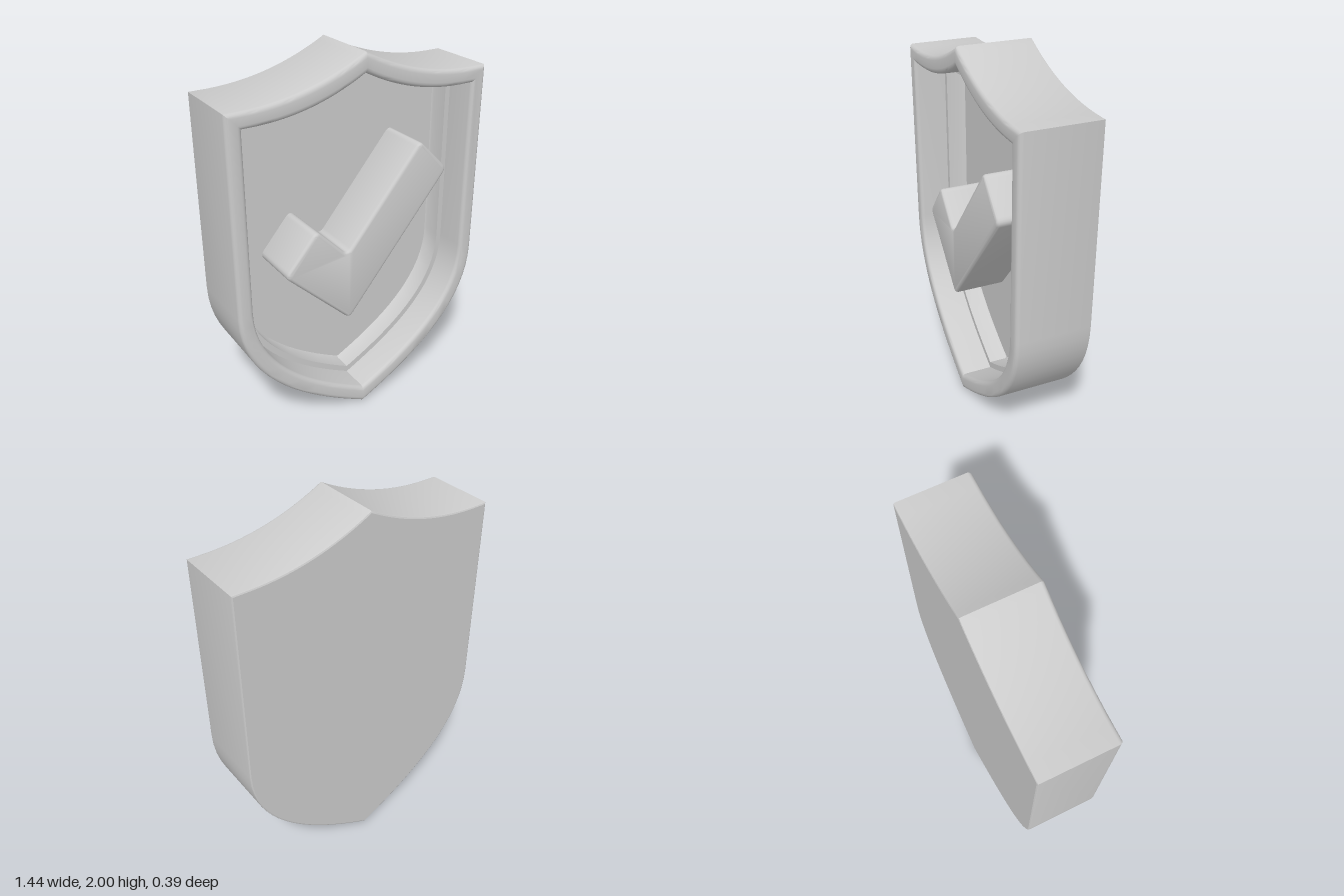
import * as THREE from 'three';
import { toCreasedNormals } from 'three/addons/utils/BufferGeometryUtils.js';

const material = new THREE.MeshStandardMaterial({ color: 0xcccccc });

// Shield outline, counter-clockwise from the bottom tip
function shieldOutline() {
  const s = new THREE.Shape();
  s.moveTo(0, 0);
  s.bezierCurveTo(0.33, 0.16, 0.72, 0.4, 0.72, 0.8);
  s.lineTo(0.72, 1.835);
  s.lineTo(0.63, 1.835);
  s.quadraticCurveTo(0.3, 1.84, 0, 2);
  s.quadraticCurveTo(-0.3, 1.84, -0.63, 1.835);
  s.lineTo(-0.72, 1.835);
  s.lineTo(-0.72, 0.8);
  s.bezierCurveTo(-0.72, 0.4, -0.33, 0.16, 0, 0);
  const pts = s.getPoints(18);
  if (pts[0].distanceTo(pts[pts.length - 1]) < 1e-6) pts.pop();
  return pts;
}

// Shrinks the outline about its middle so that its sides move in by d
function inset(pts, d) {
  const midY = 1.003, sx = 1 - d / 0.72, sy = 1 - d / 0.81;
  return pts.map((p) => new THREE.Vector2(p.x * sx, midY + (p.y - midY) * sy));
}

// Joins inset copies of the outline, one per [inset, z] step of the profile
function sweepProfile(outline, profile) {
  const n = outline.length, pos = [], idx = [];
  profile.forEach(([d, z], i) => {
    inset(outline, d).forEach((p, j) => {
      pos.push(p.x, p.y, z);
      if (i === profile.length - 1) return;
      const a = i * n + j, b = i * n + (j + 1) % n;
      idx.push(a, b, b + n, a, b + n, a + n);
    });
  });
  const g = new THREE.BufferGeometry();
  g.setAttribute('position', new THREE.Float32BufferAttribute(pos, 3));
  g.setIndex(idx);
  return toCreasedNormals(g, 0.6);
}

// Polygon with softly rounded corners
function roundedPolygon(corners, r) {
  const s = new THREE.Shape(), n = corners.length;
  const v = corners.map(([x, y]) => new THREE.Vector2(x, y));
  v.forEach((p, i) => {
    const towards = (q) => p.clone().add(q.clone().sub(p).setLength(r));
    const a = towards(v[(i + n - 1) % n]), b = towards(v[(i + 1) % n]);
    if (i === 0) s.moveTo(a.x, a.y); else s.lineTo(a.x, a.y);
    s.quadraticCurveTo(p.x, p.y, b.x, b.y);
  });
  s.closePath();
  return s;
}

export function createModel() {
  const group = new THREE.Group();
  const add = (name, geometry, z = 0) => {
    const mesh = new THREE.Mesh(geometry, material);
    mesh.name = name;
    mesh.position.z = z;
    group.add(mesh);
  };
  const outline = shieldOutline();

  // Profile from the back edge, over the rounded rim and down the stepped recess
  const floorInset = 0.115, floorZ = -0.08, backInset = 0.008, faceZ = 0.197;
  const profile = [[backInset, -faceZ], [0.002, -faceZ + 0.003], [0, -faceZ + 0.009]];
  const r = 0.022, rim = 0.08;
  for (let i = 0; i <= 4; i++) {
    const t = (i / 4) * Math.PI / 2;
    profile.push([r - r * Math.cos(t), faceZ - r + r * Math.sin(t)]);
  }
  for (let i = 0; i <= 4; i++) {
    const t = (i / 4) * Math.PI / 2;
    profile.push([rim - r + r * Math.sin(t), faceZ - r + r * Math.cos(t)]);
  }
  profile.push([rim, 0.024], [0.109, 0.024], [0.109, floorZ + 0.01], [floorInset, floorZ]);
  add('shieldFrame', sweepProfile(outline, profile));

  // Recessed front panel and flat back
  add('frontPanel', new THREE.ShapeGeometry(new THREE.Shape(inset(outline, floorInset))), floorZ);
  const back = new THREE.ShapeGeometry(new THREE.Shape(inset(outline, backInset)));
  back.rotateY(Math.PI);
  add('backPanel', back, -faceZ);

  // Raised check mark with softened edges
  const check = roundedPolygon([
    [-0.46, 0.955], [-0.09, 0.595], [0.51, 1.32],
    [0.33, 1.505], [-0.105, 0.985], [-0.28, 1.165],
  ], 0.035);
  const bevel = 0.018, checkBack = floorZ - 0.025;
  const checkGeometry = new THREE.ExtrudeGeometry(check, {
    depth: faceZ - checkBack - 2 * bevel,
    bevelSize: bevel, bevelThickness: bevel, bevelOffset: -bevel,
    bevelSegments: 4, curveSegments: 5,
  });
  add('checkMark', toCreasedNormals(checkGeometry, 0.6), checkBack + bevel);

  return group;
}
